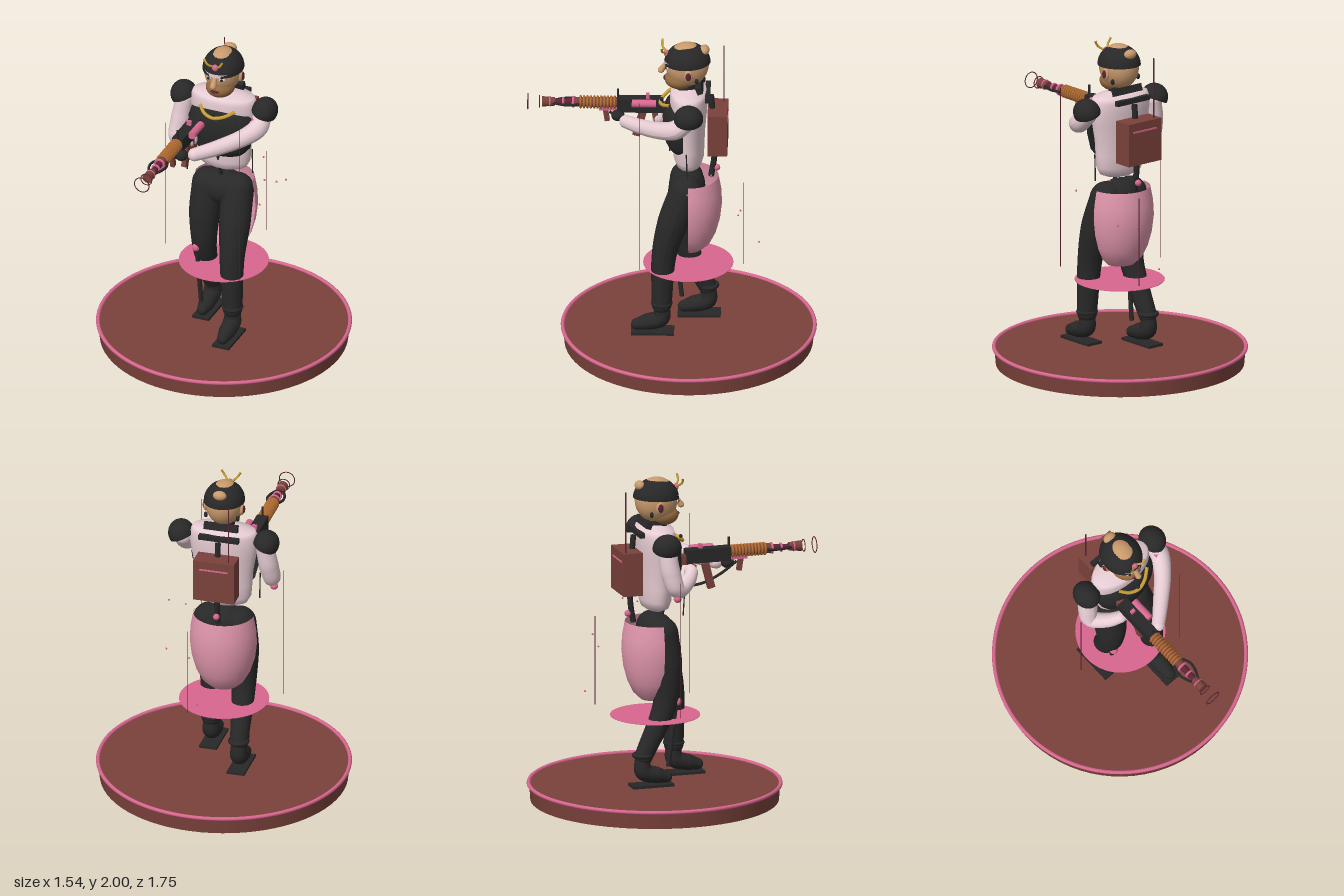
import * as THREE from 'three';

const mat = (name, color, double) => {
  const m = new THREE.MeshStandardMaterial({ color });
  m.name = name;
  if (double) m.side = THREE.DoubleSide;
  return m;
};
const V = (p) => new THREE.Vector3(...p);

export function createModel() {
  const root = new THREE.Group();
  const brown = mat('brown', 0x7a413a), pink = mat('pink', 0xd8668f, true), rose = mat('rose', 0xe096ac, true);
  const black = mat('black', 0x282828, true), shirt = mat('shirt', 0xe6ccd3), skin = mat('skin', 0xc99a6c);
  const tan = mat('tan', 0x94693f), gold = mat('gold', 0xc89e38), copper = mat('copper', 0xb06a30);
  const maroon = mat('maroon', 0x5c2434, true);

  const add = (name, geo, m, pos = [0, 0, 0], rot = [0, 0, 0], scl = [1, 1, 1]) => {
    const mesh = new THREE.Mesh(geo, m);
    mesh.name = name;
    mesh.position.set(...pos);
    mesh.rotation.set(...rot);
    mesh.scale.set(...scl);
    root.add(mesh);
    return mesh;
  };
  const box = (name, m, size, pos, rot) => add(name, new THREE.BoxGeometry(...size), m, pos, rot);
  const ball = (name, m, size, pos, rot) => add(name, new THREE.SphereGeometry(1, 24, 16), m, pos, rot, size);
  const rod = (name, m, a, b, ra, rb = ra, sides = 16) => {
    const d = V(b).sub(V(a));
    const mesh = add(name, new THREE.CylinderGeometry(rb, ra, d.length(), sides), m);
    mesh.position.copy(V(a).add(V(b)).multiplyScalar(0.5));
    mesh.quaternion.setFromUnitVectors(new THREE.Vector3(0, 1, 0), d.normalize());
    return mesh;
  };
  const tube = (name, m, pts, r) =>
    add(name, new THREE.TubeGeometry(new THREE.CatmullRomCurve3(pts.map(V)), 28, r, 8), m);
  // tapering limb: each point is [x, y, z, radius], with round ends
  const limb = (name, m, pts) => {
    const curve = new THREE.CatmullRomCurve3(pts.map((p) => V(p.slice(0, 3))));
    const n = 30, sides = 20, last = pts.length - 1;
    const geo = new THREE.TubeGeometry(curve, n, 1, sides);
    const pos = geo.attributes.position, v = new THREE.Vector3();
    for (let i = 0; i <= n; i++) {
      const c = curve.getPointAt(i / n);
      const t = curve.getUtoTmapping(i / n) * last, k = Math.min(Math.floor(t), last - 1);
      const r = THREE.MathUtils.lerp(pts[k][3], pts[k + 1][3], t - k);
      for (let j = 0; j <= sides; j++) {
        const id = i * (sides + 1) + j;
        v.fromBufferAttribute(pos, id).sub(c).multiplyScalar(r).add(c);
        pos.setXYZ(id, v.x, v.y, v.z);
      }
    }
    geo.computeVertexNormals();
    add(name, geo, m);
    for (const p of [pts[0], pts[last]]) ball(name + 'End', m, [p[3], p[3], p[3]], p.slice(0, 3));
  };
  const lathe = (name, m, prof, z, zScale, start = 0, len = Math.PI * 2) => add(name,
    new THREE.LatheGeometry(prof.map((p) => new THREE.Vector2(...p)), 48, start, len), m, [0, 0, z], [0, 0, 0], [1, 1, zScale]);

  // round base with pink rim
  add('base', new THREE.CylinderGeometry(0.757, 0.75, 0.1, 72), brown, [0, 0.05, -0.1]);
  add('baseRim', new THREE.TorusGeometry(0.76, 0.012, 10, 96), pink, [0, 0.102, -0.1], [Math.PI / 2, 0, 0]);
  add('glowDisc', new THREE.CylinderGeometry(0.272, 0.272, 0.003, 64), pink, [0, 0.525, -0.097]);

  // legs, boots and soles; the left leg is in front
  limb('leftLeg', black, [[0.095, 1.05, -0.085, 0.1], [0.11, 0.85, -0.01, 0.095], [0.115, 0.63, 0.045, 0.075], [0.125, 0.3, 0.06, 0.06]]);
  limb('rightLeg', black, [[-0.095, 1.05, -0.085, 0.1], [-0.11, 0.85, -0.06, 0.095], [-0.115, 0.62, -0.07, 0.074], [-0.125, 0.3, -0.21, 0.055]]);
  for (const [x, z] of [[0.125, 0.06], [-0.125, -0.215]]) {
    limb('boot', black, [[x, 0.3, z, 0.045], [x, 0.21, z + 0.005, 0.055], [x, 0.18, z + 0.09, 0.05], [x, 0.165, z + 0.15, 0.035]]);
    box('sole', black, [0.11, 0.016, 0.26], [x, 0.122, z + 0.055]);
    add('ankleCuff', new THREE.TorusGeometry(0.052, 0.014, 10, 28), black, [x, 0.31, z], [Math.PI / 2, 0, 0]);
  }
  ball('pelvis', black, [0.165, 0.11, 0.11], [0, 1.045, -0.09]);
  ball('kneeOrb', pink, [0.025, 0.025, 0.025], [-0.14, 0.63, 0]);
  rod('sheath', black, [-0.14, 0.62, -0.01], [-0.13, 0.23, -0.055], 0.014, 0.014);
  rod('waistRod', black, [0, 1.13, -0.06], [0, 1.3, -0.01], 0.012);

  // open tail skirt behind the legs
  lathe('tailSkirt', rose, [[0.03, 0.618], [0.09, 0.628], [0.135, 0.67], [0.17, 0.74], [0.195, 0.83], [0.207, 0.93], [0.202, 1.02], [0.185, 1.11]],
    -0.1, 0.97, Math.PI / 2, Math.PI);

  // torso, chest plate, necklace
  lathe('torso', shirt, [[0, 1.178], [0.09, 1.183], [0.145, 1.205], [0.17, 1.25], [0.176, 1.33], [0.182, 1.42], [0.2, 1.52], [0.212, 1.6],
    [0.208, 1.66], [0.195, 1.69], [0.12, 1.7], [0.05, 1.715]], -0.1, 0.54);
  lathe('chestPlate', black, [[0.0, 1.31], [0.145, 1.312], [0.185, 1.36], [0.21, 1.46], [0.212, 1.52], [0.19, 1.59], [0.13, 1.625], [0, 1.63]],
    -0.07, 0.6, -Math.PI / 2, Math.PI);
  tube('necklace', gold, [[-0.11, 1.635, 0.01], [-0.06, 1.61, 0.055], [0, 1.6, 0.072], [0.06, 1.61, 0.055], [0.12, 1.635, 0.01]], 0.011);
  ball('collarStud', black, [0.012, 0.012, 0.012], [0, 1.62, 0.065]);
  rod('neck', black, [0, 1.68, -0.09], [0, 1.78, -0.09], 0.065, 0.06);
  box('collarBar', black, [0.21, 0.045, 0.035], [0, 1.725, -0.165], [0.35, 0, 0]);
  box('upperBackBar', black, [0.25, 0.03, 0.03], [0, 1.67, -0.215]);

  // shoulder domes, tassels
  for (const s of [-1, 1]) {
    const dome = add('shoulderDome', new THREE.SphereGeometry(0.085, 32, 14, 0, Math.PI * 2, 0, 1.75), black,
      [s * 0.265, 1.62, -0.105], [0, 0, -s * 0.4], [0.93, 1, 1.05]);
    dome.name = s > 0 ? 'leftShoulderDome' : 'rightShoulderDome';
    rod('tassel', black, [s * 0.19, 1.34, s < 0 ? 0.03 : -0.09], [s * 0.19, 1.175, s < 0 ? 0.02 : -0.095], 0.004, 0.004, 6);
  }
  box('shoulderClasp', pink, [0.03, 0.04, 0.05], [0.23, 1.575, -0.04]);

  // arms and gloves
  limb('rightArm', shirt, [[-0.255, 1.6, -0.1, 0.055], [-0.275, 1.47, -0.085, 0.06], [-0.285, 1.36, -0.045, 0.052], [-0.22, 1.39, 0.04, 0.045], [-0.16, 1.43, 0.085, 0.038]]);
  limb('leftArm', shirt, [[0.255, 1.6, -0.1, 0.055], [0.255, 1.54, -0.03, 0.06], [0.2, 1.505, 0.06, 0.053], [0.08, 1.47, 0.18, 0.047], [-0.03, 1.45, 0.28, 0.04]]);
  ball('elbowOrb', pink, [0.024, 0.022, 0.024], [-0.3, 1.308, -0.05]);
  ball('rightHand', shirt, [0.038, 0.045, 0.04], [-0.135, 1.43, 0.085]);
  ball('leftHand', black, [0.04, 0.035, 0.04], [-0.095, 1.46, 0.33]);

  // head and face
  ball('head', skin, [0.113, 0.14, 0.132], [0, 1.86, -0.09]);
  ball('jaw', tan, [0.088, 0.062, 0.095], [0, 1.762, -0.048]);
  add('cap', new THREE.SphereGeometry(1, 36, 14, 0, Math.PI * 2, 0, Math.PI / 2), black, [0, 1.872, -0.092], [0.04, 0, 0], [0.124, 0.123, 0.14]);
  add('browBand', new THREE.CylinderGeometry(1, 1, 0.025, 32, 1, true, -1.1, 2.2), shirt, [0, 1.878, -0.09], [0, 0, 0], [0.118, 1, 0.138]);
  ball('capBun', skin, [0.042, 0.03, 0.03], [0, 1.955, -0.195], [-0.7, 0, 0]);
  ball('capGem', pink, [0.02, 0.022, 0.016], [0, 1.93, 0.035]);
  rod('nose', skin, [0, 1.865, 0.035], [0, 1.815, 0.068], 0.012, 0.02);
  ball('noseTip', skin, [0.018, 0.016, 0.02], [0, 1.815, 0.066]);
  ball('lips', maroon, [0.028, 0.01, 0.012], [0, 1.768, 0.042]);
  for (const s of [-1, 1]) {
    ball('eyeWhite', shirt, [0.02, 0.011, 0.008], [s * 0.042, 1.852, 0.03], [0, s * 0.35, 0]);
    ball('pupil', black, [0.01, 0.01, 0.006], [s * 0.042, 1.852, 0.036]);
    box('eyebrow', black, [0.04, 0.007, 0.008], [s * 0.043, 1.87, 0.034], [0, s * 0.35, s * 0.15]);
    ball('ear', skin, [0.016, 0.038, 0.026], [s * 0.112, 1.83, -0.1]);
    ball('earpiece', maroon, [0.008, 0.026, 0.017], [s * 0.124, 1.832, -0.1]);
    ball('earBud', black, [0.012, 0.018, 0.012], [s * 0.1, 1.79, -0.15]);
    tube('capFeeler', gold, [[s * 0.012, 1.935, 0.035], [s * 0.04, 1.96, 0.06], [s * 0.062, 1.995, 0.06]], 0.007);
  }

  // backpack with spine and antenna
  box('backpack', brown, [0.255, 0.265, 0.12], [0, 1.433, -0.275]);
  box('backpackStripe', pink, [0.18, 0.01, 0.006], [0, 1.51, -0.336]);
  tube('spine', black, [[0, 1.65, -0.235], [0, 1.45, -0.25], [0, 1.25, -0.255], [0, 1.11, -0.235]], 0.018);
  ball('spineOrb', pink, [0.02, 0.02, 0.02], [0, 1.165, -0.27]);
  rod('antenna', maroon, [-0.088, 1.5, -0.31], [-0.088, 1.94, -0.31], 0.004, 0.004, 8);

  // long gun, pointing forward
  const gx = -0.12, gy = 1.535;
  const barrel = (name, m, z0, z1, r0, r1 = r0, x = gx, y = gy) => rod(name, m, [x, y, z0], [x, y, z1], r0, r1, 20);
  const ring = (name, m, z, r, t) => add(name, new THREE.TorusGeometry(r, t, 8, 32), m, [gx, gy, z]);
  box('gunReceiver', black, [0.07, 0.085, 0.28], [gx, 1.525, 0.195]);
  box('gunStock', brown, [0.045, 0.06, 0.1], [gx, 1.505, 0.02]);
  barrel('gunCell', pink, 0.1, 0.245, 0.024, 0.024, -0.065, 1.555);
  barrel('coilCore', brown, 0.32, 0.6, 0.03);
  for (let i = 0; i < 11; i++) ring('coil', copper, 0.35 + i * 0.0205, 0.033, 0.0075);
  box('underRail', pink, [0.03, 0.02, 0.15], [gx, 1.495, 0.37]);
  barrel('frontBarrel', maroon, 0.58, 0.72, 0.023, 0.016);
  ring('barrelBand', pink, 0.6, 0.028, 0.008);
  ring('barrelBand', pink, 0.66, 0.022, 0.007);
  for (const s of [-1, 1])
    tube('gunProng', black, [[gx + s * 0.02, gy, 0.54], [gx + s * 0.05, gy, 0.61], [gx + s * 0.045, gy, 0.66], [gx + s * 0.02, gy, 0.72]], 0.008);
  barrel('muzzle', brown, 0.71, 0.787, 0.026, 0.032);
  ring('muzzleRing', pink, 0.74, 0.027, 0.005);
  ring('smallHalo', maroon, 0.803, 0.036, 0.003);
  ring('largeHalo', maroon, 0.873, 0.048, 0.003);
  box('foreGrip', brown, [0.025, 0.075, 0.03], [gx, 1.45, 0.4], [0.15, 0, 0]);
  box('pistolGrip', brown, [0.03, 0.1, 0.035], [gx, 1.42, 0.095], [0.25, 0, 0]);
  box('magazine', brown, [0.03, 0.16, 0.045], [gx, 1.395, 0.2], [-0.25, 0, 0]);
  rod('gunSight', black, [gx, 1.56, 0.33], [gx, 1.625, 0.33], 0.007);
  box('rearSight', pink, [0.03, 0.03, 0.02], [gx, 1.58, 0.15]);
  tube('sling', black, [[gx, 1.47, 0.38], [gx, 1.4, 0.28], [-0.11, 1.345, 0.16], [-0.1, 1.34, 0.05], [-0.1, 1.38, 0]], 0.009);

  // thin floating light lines and sparks
  for (const [x, z, top] of [[-0.36, -0.05, 1.42], [0.225, 0.19, 1.7], [0.133, -0.435, 1.13]])
    rod('lightLine', maroon, [x, 0.58, z], [x, top, z], 0.002, 0.002, 6);
  for (const p of [[0.345, 1.145, -0.1], [0.275, 0.98, -0.405], [0.2, 1.21, -0.24], [0.13, 0.94, -0.415], [0.05, 0.69, -0.525]])
    ball('spark', pink, [0.006, 0.006, 0.006], p);
  return root;
}
